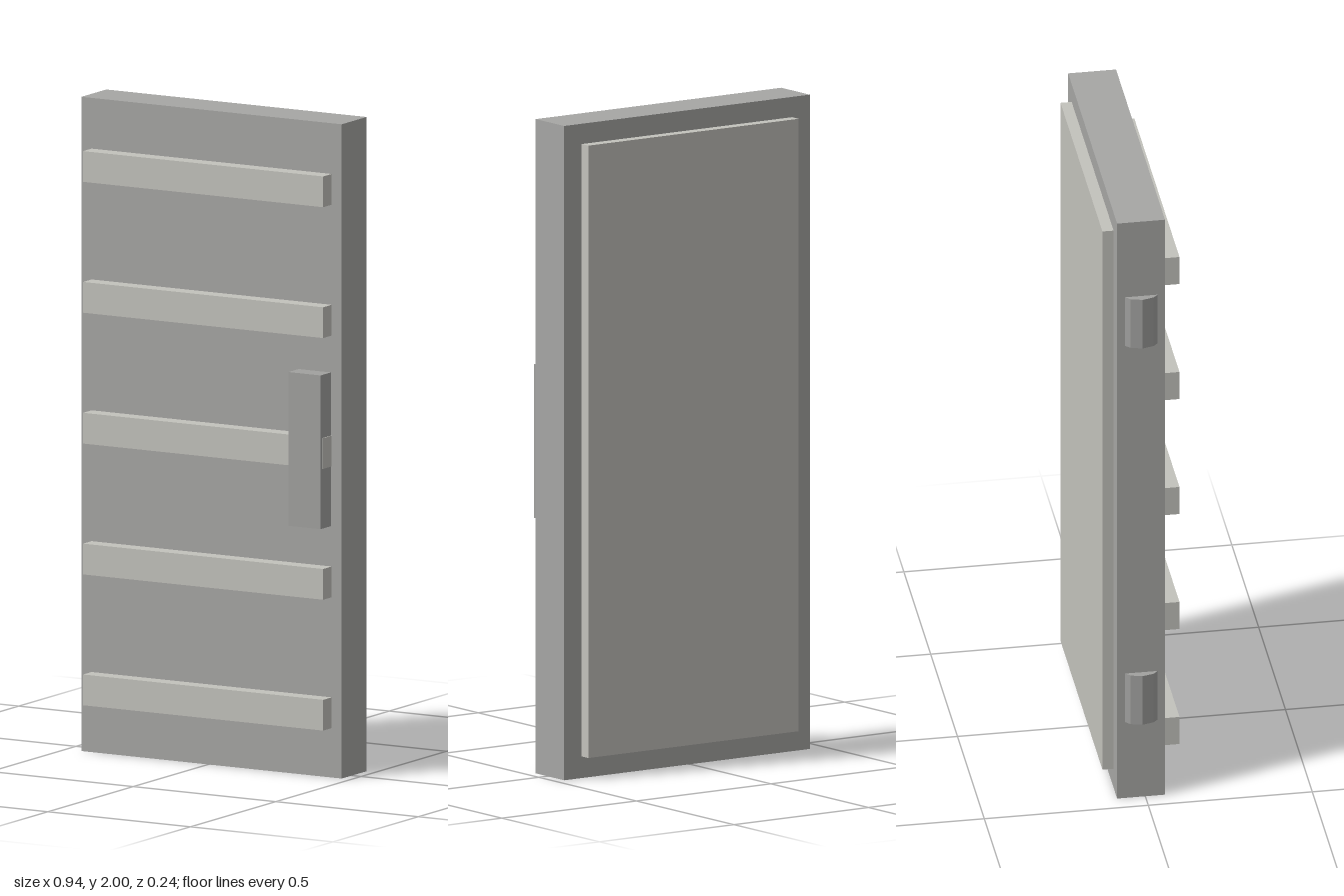
import * as THREE from 'three';

const slabGrey = new THREE.MeshStandardMaterial({ name: 'slab grey', color: 0xa6a6a4 });
const paleGrey = new THREE.MeshStandardMaterial({ name: 'pale warm grey', color: 0xc3c2bc });
const fittingGrey = new THREE.MeshStandardMaterial({ name: 'fitting grey', color: 0xa1a19f });

// Box given by its extents along each axis
function block(name, material, [x0, x1], [y0, y1], [z0, z1]) {
  const mesh = new THREE.Mesh(new THREE.BoxGeometry(x1 - x0, y1 - y0, z1 - z0), material);
  mesh.name = name;
  mesh.position.set((x0 + x1) / 2, (y0 + y1) / 2, (z0 + z1) / 2);
  return mesh;
}

export function createModel() {
  const door = new THREE.Group();
  door.name = 'door';

  // Main slab and the raised panel on its back
  door.add(block('slab', slabGrey, [-0.445, 0.468], [0, 2], [-0.086, 0.06]));
  door.add(block('backPanel', paleGrey, [-0.379, 0.403], [0.066, 1.938], [-0.12, -0.08]));

  // Five horizontal bars across the front
  for (let i = 0; i < 5; i++) {
    const y = 0.198 + i * 0.4;
    door.add(block('frontBar' + (i + 1), paleGrey, [-0.409, 0.433], [y - 0.047, y + 0.047], [0.05, 0.11]));
  }

  // Upright handle over the end of the middle bar
  door.add(block('handle', fittingGrey, [0.317, 0.43], [0.768, 1.238], [0.05, 0.12]));

  // Twelve-sided hinge barrels, mostly sunk into the edge
  const hingeGeometry = new THREE.CylinderGeometry(0.07, 0.07, 0.169, 12).toNonIndexed();
  hingeGeometry.computeVertexNormals();
  for (const [name, y] of [['lowerHinge', 0.348], ['upperHinge', 1.657]]) {
    const hinge = new THREE.Mesh(hingeGeometry, fittingGrey);
    hinge.name = name;
    hinge.position.set(-0.399, y, -0.012);
    door.add(hinge);
  }

  return door;
}
